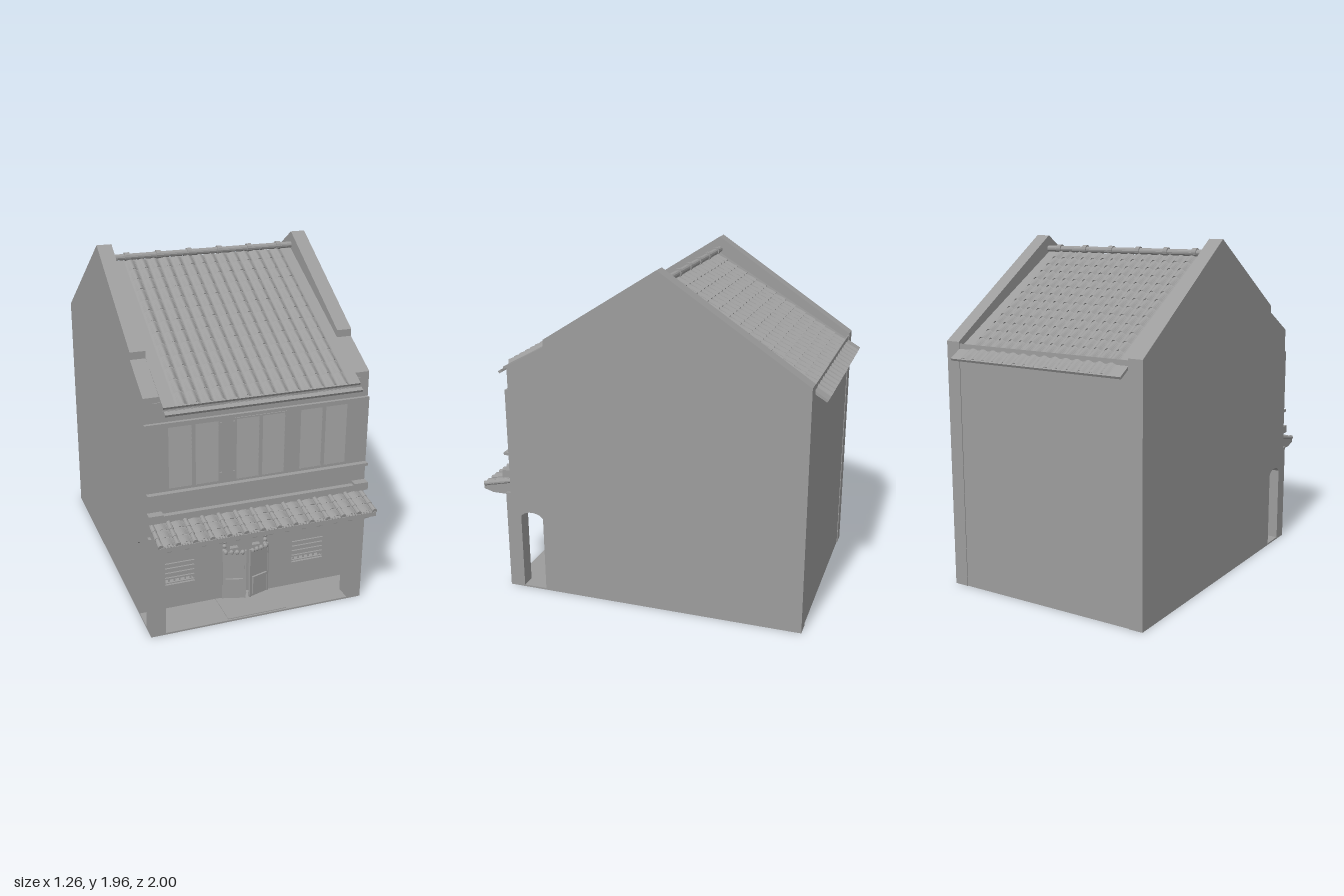
import * as THREE from 'three';

const grey = new THREE.MeshStandardMaterial({ color: 0x9c9c9c, flatShading: true, side: THREE.DoubleSide });

function add(parent, name, geometry, x = 0, y = 0, z = 0) {
  const m = new THREE.Mesh(geometry, grey);
  m.name = name;
  m.position.set(x, y, z);
  parent.add(m);
  return m;
}
// Box given by its limits on each axis
function box(parent, name, x0, x1, y0, y1, z0, z1) {
  return add(parent, name, new THREE.BoxGeometry(x1 - x0, y1 - y0, z1 - z0), (x0 + x1) / 2, (y0 + y1) / 2, (z0 + z1) / 2);
}
function shapeOf(points) {
  return new THREE.Shape(points.map(([a, b]) => new THREE.Vector2(a, b)));
}
function rectPath(x0, x1, y0, y1) {
  return new THREE.Path([[x0, y0], [x1, y0], [x1, y1], [x0, y1]].map(([a, b]) => new THREE.Vector2(a, b)));
}
// (z, y) outline extruded along x
function alongX(parent, name, shape, x0, x1) {
  const g = new THREE.ExtrudeGeometry(shape, { depth: x1 - x0, bevelEnabled: false, curveSegments: 10 });
  add(parent, name, g.rotateY(-Math.PI / 2), x1);
}
function sidePair(parent, name, shape, inner, outer) {
  alongX(parent, 'left' + name, shape, inner, outer);
  alongX(parent, 'right' + name, shape, -outer, -inner);
}
// Front-facing wall with openings
function wall(parent, name, x, y0, y1, z0, z1, holes) {
  const s = shapeOf([[-x, y0], [x, y0], [x, y1], [-x, y1]]);
  s.holes.push(...holes.map(h => rectPath(...h)));
  add(parent, name, new THREE.ExtrudeGeometry(s, { depth: z1 - z0, bevelEnabled: false }), 0, 0, z0);
}

// Rows of rounded tiles running down +z, each with an undercut lip
function tileField(parent, name, width, cols, z0, z1, rows, amp, lift) {
  const rowLen = (z1 - z0) / rows;
  for (let r = 0; r < rows; r++) {
    const g = new THREE.PlaneGeometry(width, 2, cols * 12, 2);
    const p = g.attributes.position;
    for (let i = 0; i < p.count; i++) {
      const x = p.getX(i), v = Math.round(1 - p.getY(i));
      const t = (x / width + 0.5) * cols;
      const wave = Math.pow(Math.sin(Math.PI * t), 2);
      const h = wave * (amp + (v === 1 ? lift : 0));
      p.setXYZ(i, x, h, z0 + r * rowLen + [0, rowLen, rowLen - lift * 0.8][v]);
    }
    add(parent, name, g);
  }
}

function buildShell(house) {
  const lower = [[0.8, 1.2], [0.57, 1.32], [-0.09, 1.74], [-0.92, 1.2]];
  sidePair(house, 'SideWall', shapeOf([[-0.92, 0], [0.6, 0], [0.6, 0.6], [0.82, 0.6], [0.82, 1.23], [0.8, 1.23], ...lower]), 0.625, 0.63);
  // Raised gable above the roof, stepping down to the front
  sidePair(house, 'GableParapet', shapeOf([[-0.92, 1.41], [-0.09, 1.96], [0.57, 1.54], [0.57, 1.5], [0.8, 1.37], ...lower]), 0.545, 0.63);
  // Porch end with arched passage
  const arch = shapeOf([[0.6, 0], [0.62, 0], [0.62, 0.46]]);
  arch.bezierCurveTo(0.645, 0.502, 0.735, 0.502, 0.76, 0.46);
  for (const [z, y] of [[0.76, 0], [0.85, 0], [0.85, 0.6], [0.6, 0.6]]) arch.lineTo(z, y);
  sidePair(house, 'PorchArch', arch, 0.545, 0.63);
  box(house, 'backWall', -0.625, 0.625, 0, 1.4, -0.916, -0.911);
  for (const s of [1, -1]) box(house, 'backPilaster', s * 0.585 - 0.04, s * 0.585 + 0.04, 0, 1.4, -0.92, -0.911);
  box(house, 'porchFloor', -0.63, 0.63, 0, 0.01, 0.6, 0.85);
  box(house, 'doorStep', -0.18, 0.17, 0.01, 0.014, 0.63, 0.84);
  box(house, 'porchCeiling', -0.62, 0.62, 0.59, 0.6, 0.6, 0.82);
  // Lintel with slanted braces in the porch corners
  box(house, 'porchLintel', -0.37, 0.37, 0.57, 0.59, 0.775, 0.835);
  for (const s of [1, -1]) {
    const b = shapeOf([[s * 0.545, 0.45], [s * 0.545, 0.59], [s * 0.37, 0.59], [s * 0.37, 0.57]]);
    add(house, 'cornerBrace', new THREE.ExtrudeGeometry(b, { depth: 0.06, bevelEnabled: false }), 0, 0, 0.775);
  }
}

function buildRoof(house) {
  const slopes = [['frontRoof', 0, 0.96, 0.527, 1], ['backRoof', Math.PI, 0.9, 0.535, 0.9]];
  for (const [name, turn, run, drop, part] of slopes) {
    const g = new THREE.Group();
    g.name = name;
    g.rotation.order = 'YXZ';
    g.rotation.set(Math.atan2(drop, run), turn, 0);
    g.position.set(0, 1.863, -0.09);
    const len = Math.hypot(run, drop);
    box(g, 'roofDeck', -0.545, 0.545, -0.014, 0, 0, len);
    tileField(g, 'tileRow', 0.96, 14, 0.01, len * part, 13, 0.013, 0.009);
    if (part < 1) tileField(g, 'eaveTileRow', 0.96, 14, len * part, len, 1, 0.008, 0.006);
    house.add(g);
  }
  // Ridge pipe with collars
  const along = r => new THREE.CylinderGeometry(r, r, 1, 12).rotateZ(Math.PI / 2);
  add(house, 'ridgeCap', along(0.018), 0, 1.882, -0.09).scale.x = 1.09;
  for (let i = 0; i < 6; i++) add(house, 'ridgeCollar', along(0.024), -0.46 + i * 0.184, 1.884, -0.09).scale.x = 0.028;
  box(house, 'eaveGutter', -0.545, 0.545, 1.3, 1.315, 0.876, 0.9).rotation.x = 0.5;
}

function buildUpperFloor(house) {
  const centres = [-0.37, 0, 0.365];
  wall(house, 'upperWall', 0.625, 0.6, 1.23, 0.79, 0.82, centres.map(c => [c - 0.146, c + 0.146, 0.857, 1.213]));
  box(house, 'eaveWall', -0.625, 0.625, 1.23, 1.37, 0.78, 0.8);
  box(house, 'eavePanel', -0.19, 0.18, 1.26, 1.29, 0.8, 0.806);
  for (const s of [1, -1]) {
    box(house, 'eaveCorbel', s * 0.555 - 0.025, s * 0.555 + 0.025, 1.25, 1.34, 0.8, 0.806);
    box(house, 'eavePanel', s * 0.43 - 0.1, s * 0.43 + 0.1, 1.26, 1.29, 0.8, 0.806);
    box(house, 'corniceBlock', s * 0.59 - 0.04, s * 0.59 + 0.04, 0.695, 0.74, 0.81, 0.866);
  }
  for (const x of [-0.224, -0.15]) for (const y of [0.9, 1.18]) box(house, 'shutterHinge', x - 0.005, x + 0.005, y - 0.016, y + 0.016, 0.82, 0.828);
  box(house, 'sillLedge', -0.63, 0.63, 0.834, 0.85, 0.81, 0.85);
  box(house, 'cornice', -0.55, 0.55, 0.7, 0.725, 0.81, 0.85);
  // Louvred shutters, two leaves per window; the middle pair stands proud
  for (const c of centres) for (const s of [1, -1]) {
    const leaf = new THREE.Group();
    leaf.name = 'shutterLeaf';
    leaf.position.set(c + s * 0.073, 0, c === 0 ? 0.81 : 0.805);
    box(leaf, 'backing', -0.073, 0.073, 0.857, 1.213, -0.012, 0.004);
    for (const x of [-0.068, 0.068]) box(leaf, 'stile', x - 0.005, x + 0.005, 0.857, 1.213, 0.004, 0.015);
    for (const y of [0.861, 1.209]) box(leaf, 'rail', -0.063, 0.063, y - 0.004, y + 0.004, 0.004, 0.015);
    for (let i = 0; i < 13; i++) {
      const y = 0.878 + i * 0.0262;
      box(leaf, 'louvre', -0.063, 0.063, y - 0.0135, y + 0.0135, 0.009, 0.012).rotation.x = -0.2;
    }
    house.add(leaf);
  }
}

function buildCanopy(house) {
  alongX(house, 'canopyBody', shapeOf([[0.815, 0.665], [1.0, 0.624], [1.0, 0.6], [0.94, 0.583], [0.815, 0.583]]), -0.615, 0.615);
  const tiles = new THREE.Group();
  tiles.name = 'canopyTiles';
  tiles.position.set(0, 0.666, 0.82);
  tiles.rotation.x = 0.22;
  tileField(tiles, 'canopyTileRow', 1.22, 13, 0, 0.18, 3, 0.008, 0.008);
  for (let i = 0; i < 14; i++) {
    const x = -0.608 + i * 0.0935;
    for (let r = 0; r < 3; r++) {
      const g = new THREE.CylinderGeometry(0.015, 0.012, 0.062, 10).rotateX(Math.PI / 2);
      add(tiles, 'coverTile', g, x, 0.003, 0.03 + r * 0.06);
    }
    // Hanging rounded drip tile between two covers
    if (i < 13) {
      const drip = new THREE.CylinderGeometry(0.036, 0.036, 0.008, 14, 1, false, -Math.PI / 2, Math.PI).rotateX(Math.PI / 2);
      add(tiles, 'dripTile', drip, x + 0.047, 0, 0.18);
    }
  }
  house.add(tiles);
}

function buildGroundFront(house) {
  const windows = [-0.405, 0.39];
  const holes = windows.map(c => [c - 0.1, c + 0.1, 0.165, 0.43]);
  holes.push([-0.145, 0.145, 0.012, 0.48]);
  wall(house, 'groundWall', 0.625, 0, 0.59, 0.595, 0.62, holes);
  box(house, 'innerUpperWall', -0.625, 0.625, 0.59, 1.2, 0.595, 0.6);
  for (const c of windows) {
    const g = new THREE.Group();
    g.name = 'barredWindow';
    g.position.x = c;
    box(g, 'windowBacking', -0.11, 0.11, 0.155, 0.44, 0.57, 0.575);
    for (const s of [1, -1]) box(g, 'jamb', s * 0.105 - 0.005, s * 0.105 + 0.005, 0.155, 0.436, 0.54, 0.63);
    for (const y of [0.16, 0.43]) box(g, 'crossRail', -0.108, 0.108, y - 0.005, y + 0.005, 0.54, 0.63);
    for (let i = 0; i < 6; i++) box(g, 'bar', -0.084 + i * 0.032, -0.076 + i * 0.032, 0.165, 0.425, 0.606, 0.614);
    // Lower guard grid
    for (let i = 0; i < 5; i++) box(g, 'guardRail', -0.1, 0.1, 0.17 + i * 0.03, 0.176 + i * 0.03, 0.614, 0.624);
    const v = -Math.sign(c) * 0.05;
    box(g, 'vent', v - 0.05, v + 0.05, 0.46, 0.54, 0.61, 0.634);
    house.add(g);
  }
  // Main door set back in its opening
  box(house, 'innerDoor', -0.145, 0.145, 0.01, 0.48, 0.585, 0.597);
  box(house, 'doorLintel', -0.15, 0.15, 0.465, 0.48, 0.6, 0.632);
  for (const s of [1, -1]) {
    box(house, 'doorPost', s * 0.142 - 0.004, s * 0.142 + 0.004, 0.01, 0.48, 0.595, 0.622);
    // Carved upper panel frame
    for (const x of [0.034, 0.1]) box(house, 'panelStile', s * x - 0.007, s * x + 0.007, 0.31, 0.465, 0.597, 0.625);
    for (const y of [0.318, 0.458]) box(house, 'panelRail', s * 0.067 - 0.033, s * 0.067 + 0.033, y - 0.007, y + 0.007, 0.597, 0.625);
    for (let i = 0; i < 6; i++) add(house, 'carvedBoss', new THREE.SphereGeometry(0.013, 8, 6), s * 0.124, 0.318 + i * 0.028, 0.62);
    // Half-height gate leaf, ajar
    const leaf = new THREE.Group();
    leaf.name = 'halfDoor';
    leaf.position.set(s * 0.14, 0, 0.628);
    leaf.rotation.y = s * 0.3;
    const part = (name, a, b, y0, y1, z0, z1) => box(leaf, name, Math.min(-s * a, -s * b), Math.max(-s * a, -s * b), y0, y1, z0, z1);
    part('leafBoard', 0, 0.136, 0.014, 0.31, -0.004, 0.004);
    for (const a of [0, 0.128]) part('leafStile', a, a + 0.008, 0.014, 0.325, -0.006, 0.008);
    part('leafTopRail', 0, 0.136, 0.3, 0.312, -0.006, 0.008);
    part('leafPanel', 0.018, 0.118, 0.032, 0.145, 0.004, 0.016);
    for (let i = 0; i < 4; i++) add(leaf, 'leafCrest', new THREE.SphereGeometry(0.014, 8, 6), -s * (0.02 + i * 0.032), 0.314, 0.002);
    house.add(leaf);
  }
}

export function createModel() {
  const house = new THREE.Group();
  house.name = 'shophouse';
  buildShell(house);
  buildRoof(house);
  buildUpperFloor(house);
  buildCanopy(house);
  buildGroundFront(house);
  return house;
}
